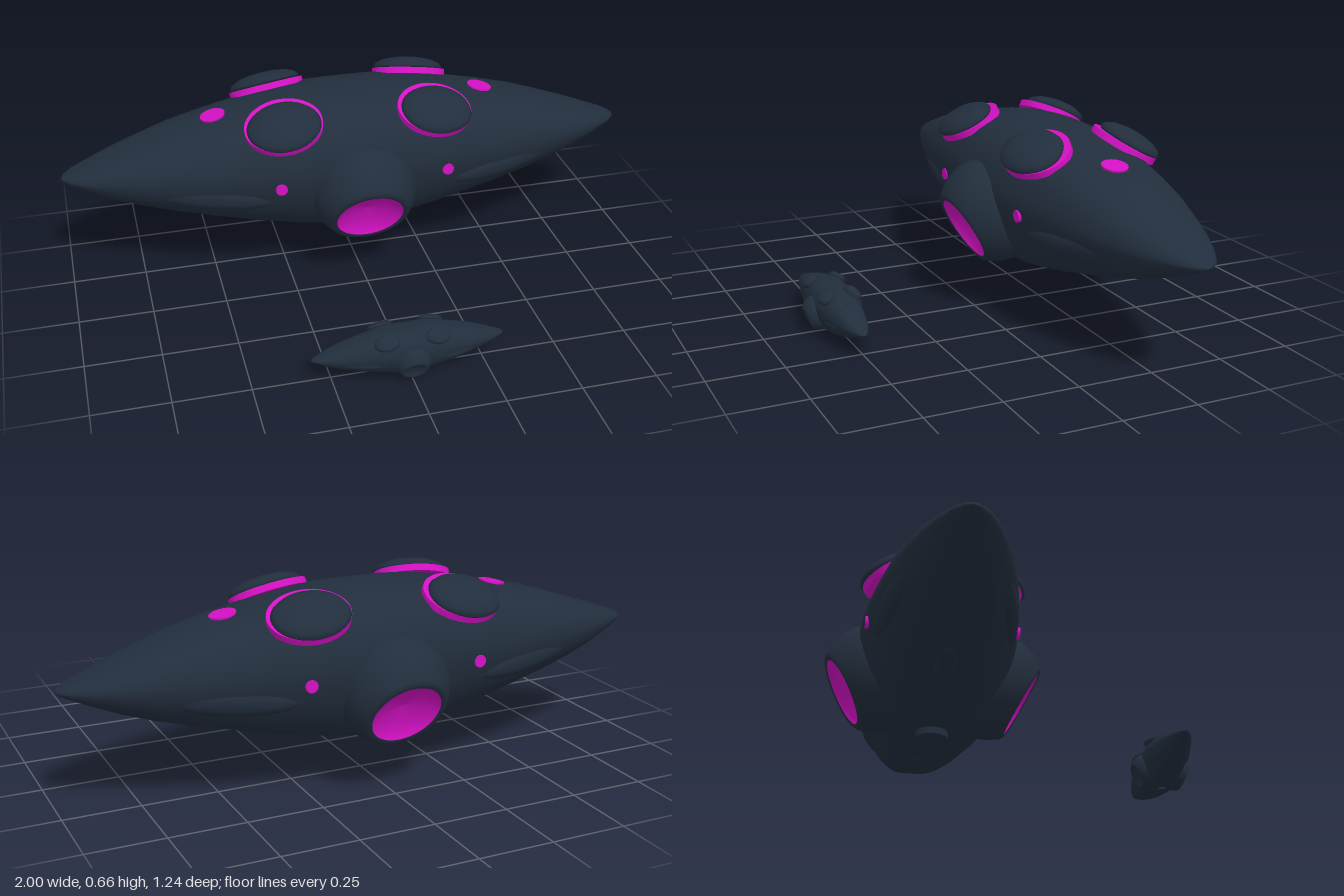
import * as THREE from 'three';

// Hull stations: x, half width, top y, bottom y
const STATIONS = [
  [0, .262, .636, .155], [.1, .26, .636, .16], [.2, .255, .63, .175], [.35, .235, .607, .205],
  [.5, .21, .576, .24], [.62, .185, .548, .27], [.73, .155, .512, .3], [.82, .125, .482, .33],
  [.9, .09, .453, .362], [.96, .055, .433, .387], [.99, .025, .42, .4], [1, 0, .41, .41],
];
// Half cross-section: share of the width, share of the height above or below the middle
const SECTION = [
  [0, 1], [.35, .97], [.7, .8], [.91, .48], [1, .08], [.96, -.25], [.8, -.62], [.48, -.95], [0, -1],
];

const v2 = (list) => list.map(([a, b]) => new THREE.Vector2(a, b));

function hullGeometry() {
  const half = new THREE.SplineCurve(v2(SECTION)).getPoints(24);
  const ring = [...half, ...half.slice(0, -1).reverse().map((p) => new THREE.Vector2(-p.x, p.y))];
  const left = STATIONS.slice(1).reverse().map(([x, ...rest]) => [-x, ...rest]);
  const rows = [...left, ...STATIONS];
  const pos = [], idx = [], n = ring.length;
  rows.forEach(([x, w, top, bottom], i) => {
    const mid = THREE.MathUtils.lerp(.43, .41, Math.abs(x));
    ring.forEach((p, j) => {
      pos.push(x, mid + p.y * (p.y > 0 ? top - mid : mid - bottom), p.x * w);
      if (i < rows.length - 1 && j < n - 1) {
        const a = i * n + j;
        idx.push(a, a + 1, a + n, a + 1, a + n + 1, a + n);
      }
    });
  });
  const g = new THREE.BufferGeometry();
  g.setAttribute('position', new THREE.Float32BufferAttribute(pos, 3));
  g.setIndex(idx);
  g.computeVertexNormals();
  return g;
}

function buildShip(name, dark, accent) {
  const ship = new THREE.Group();
  ship.name = name;
  const add = (part, geo, mat, x, y, z, parent = ship) => {
    const m = new THREE.Mesh(geo, mat);
    m.name = part;
    m.position.set(x, y, z);
    parent.add(m);
    return m;
  };

  add('hull', hullGeometry(), dark, 0, 0, 0);
  add('bellyPlate', new THREE.CylinderGeometry(.055, .055, .03, 24), dark, 0, .15, 0);

  // Large lamp pods, facing out and down at the front and back
  const podGeo = new THREE.LatheGeometry(v2([
    [0, -.3], [.12, -.28], [.165, -.2], [.182, -.13], [.182, -.09], [.167, -.045], [.14, -.005], [.127, .003], [.115, 0],
  ]), 40);
  const lensGeo = new THREE.LatheGeometry(v2([[.115, 0], [.1, -.014], [.06, -.032], [0, -.04]]), 40);
  for (const turn of [0, Math.PI]) {
    const side = new THREE.Group();
    side.name = turn ? 'backLamp' : 'frontLamp';
    side.rotation.y = turn;
    ship.add(side);
    add('lampPod', podGeo, dark, 0, .285, .302, side).rotation.x = 2.07;
    add('lampLens', lensGeo, accent, 0, .285, .302, side).rotation.x = 2.07;
  }

  // Tilted roof domes, each over a glowing disc
  const capGeo = new THREE.LatheGeometry(v2([
    [0, 0], [.12, 0], [.125, .008], [.115, .022], [.085, .035], [.045, .042], [0, .044],
  ]), 36);
  const discGeo = new THREE.CylinderGeometry(.132, .132, .022, 36);
  const sideLightGeo = new THREE.CylinderGeometry(.02, .02, .03, 20);
  const blisterGeo = new THREE.SphereGeometry(1, 32, 20);
  for (const sx of [-1, 1]) {
    for (const sz of [-1, 1]) {
      const dome = new THREE.Group();
      dome.name = 'roofDome';
      dome.position.set(sx * .262, .593, sz * .177);
      dome.rotation.set(sz * .48, 0, -sx * .13);
      ship.add(dome);
      add('domeCap', capGeo, dark, 0, 0, 0, dome).scale.z = .8;
      add('domeGlow', discGeo, accent, 0, -.012, -sz * .014, dome).scale.z = .82;

      add('sideLight', sideLightGeo, accent, sx * .29, .4, sz * .233).rotation.x = Math.PI / 2;

      // Long swelling along the lower flank
      const blister = add('flankBlister', blisterGeo, dark, sx * .52, .37, sz * .158);
      blister.scale.set(.23, .055, .045);
      blister.rotation.set(0, sx * sz * .22, sx * .1);
    }
    // Roof light and belly fin at each end
    add('roofLight', new THREE.CylinderGeometry(.043, .043, .012, 28), accent, sx * .475, .58, 0).rotation.z = -sx * .2;
    const fin = add('bellyFin', new THREE.CapsuleGeometry(.03, .08, 6, 16), dark, sx * .41, .23, 0);
    fin.rotation.z = Math.PI / 2 + sx * .3;
    fin.scale.set(.75, 1, 1.2);
  }
  return ship;
}

export function createModel() {
  const dark = new THREE.MeshStandardMaterial({ color: 0x222e3d });
  dark.name = 'dark slate';
  const glow = new THREE.MeshStandardMaterial({ color: 0xd411c4 });
  glow.name = 'magenta glow';

  const model = new THREE.Group();
  model.name = 'saucerShips';

  const large = buildShip('largeShip', dark, glow);
  large.position.z = -.262;
  model.add(large);

  // Small plain escort ahead of and below the large ship
  const small = buildShip('smallShip', dark, dark);
  small.scale.set(.315, .32, .27);
  small.position.set(0, -.043, .515);
  model.add(small);
  return model;
}
